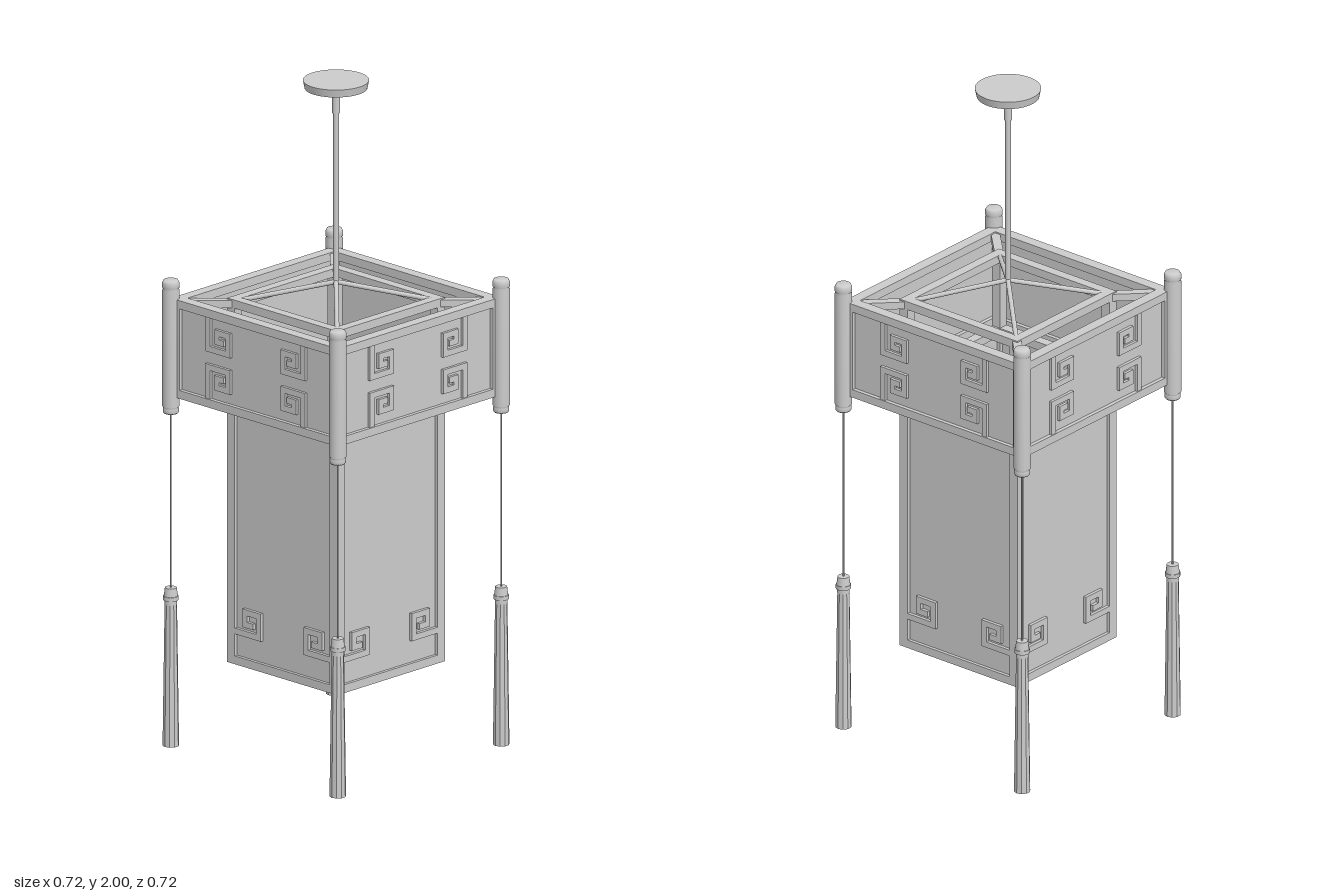
import * as THREE from 'three';

const material = new THREE.MeshStandardMaterial({ color: 0xcccccc, side: THREE.DoubleSide });
const flatMaterial = new THREE.MeshStandardMaterial({ color: 0xcccccc, flatShading: true });

function add(parent, name, geometry, x = 0, y = 0, z = 0, mat = material) {
  const mesh = new THREE.Mesh(geometry, mat);
  mesh.name = name;
  mesh.position.set(x, y, z);
  parent.add(mesh);
  return mesh;
}

const box = (parent, name, w, h, d, x, y, z) =>
  add(parent, name, new THREE.BoxGeometry(w, h, d), x, y, z);

function cylinder(parent, name, rTop, rBottom, y0, y1, x = 0, z = 0, sides = 24, mat = material) {
  return add(parent, name, new THREE.CylinderGeometry(rTop, rBottom, y1 - y0, sides), x, (y0 + y1) / 2, z, mat);
}

// Round rod between two points
function rod(parent, name, a, b, r) {
  const dir = b.clone().sub(a);
  const mid = a.clone().add(b).multiplyScalar(0.5);
  const mesh = add(parent, name, new THREE.CylinderGeometry(r, r, dir.length(), 12), mid.x, mid.y, mid.z);
  mesh.quaternion.setFromUnitVectors(new THREE.Vector3(0, 1, 0), dir.normalize());
}

// Square spiral made of straight strips along a right-angled path
function fret(parent, points, z, width = 0.018, depth = 0.014) {
  const group = new THREE.Group();
  group.name = 'fretOrnament';
  for (let i = 0; i < points.length - 1; i++) {
    const [ax, ay] = points[i], [bx, by] = points[i + 1];
    box(group, 'fretStrip', Math.abs(bx - ax) + width, Math.abs(by - ay) + width, depth,
      (ax + bx) / 2, (ay + by) / 2, z);
  }
  parent.add(group);
}

const upperFret = [[-0.19, 1.315], [-0.19, 1.225], [-0.11, 1.225], [-0.11, 1.28], [-0.154, 1.28], [-0.154, 1.253], [-0.135, 1.253]];
const lowerFret = [[-0.19, 0.35], [-0.095, 0.35], [-0.095, 0.415], [-0.15, 0.415], [-0.15, 0.378], [-0.125, 0.378]];

// One side of the wide upper crown
function crownSide() {
  const g = new THREE.Group();
  g.name = 'crownSide';
  box(g, 'crownTopRail', 0.634, 0.025, 0.034, 0, 1.3325, 0.317);
  box(g, 'crownBottomRail', 0.634, 0.025, 0.034, 0, 1.0625, 0.317);
  box(g, 'crownPanel', 0.61, 0.25, 0.01, 0, 1.1975, 0.317);
  const midY = 1.1975;
  for (const sx of [1, -1])
    for (const sy of [1, -1])
      fret(g, upperFret.map(([x, y]) => [x * sx, midY + (y - midY) * sy]), 0.324);
  return g;
}

// One side of the tall lantern body
function bodySide() {
  const g = new THREE.Group();
  g.name = 'bodySide';
  for (const [name, y] of [['bodyTopRail', 1.3325], ['bodyMiddleRail', 1.1], ['bodyBottomRail', 0.2625]])
    box(g, name, 0.41, 0.025, 0.03, 0, y, 0.205);
  box(g, 'bodyPanel', 0.39, 0.82, 0.008, 0, 0.682, 0.206);
  for (const sx of [1, -1]) fret(g, lowerFret.map(([x, y]) => [x * sx, y]), 0.213);
  return g;
}

// Corner post, hanging cord and tassel
function cornerHanging(x, z) {
  const g = new THREE.Group();
  g.name = 'cornerHanging';
  const profile = [[0, 1.0], [0.02, 1.0], [0.023, 1.004], [0.023, 1.015], [0.021, 1.018], [0.025, 1.022],
    [0.025, 1.37], [0.021, 1.374], [0.025, 1.378], [0.025, 1.392], [0.021, 1.4], [0, 1.4]];
  const post = new THREE.LatheGeometry(profile.map(([r, y]) => new THREE.Vector2(r, y)), 24);
  add(g, 'cornerPost', post);
  cylinder(g, 'tasselCord', 0.0025, 0.0025, 0.47, 1.0, 0, 0, 8);
  cylinder(g, 'tasselCap', 0.017, 0.02, 0.45, 0.475);
  cylinder(g, 'tasselBand', 0.022, 0.022, 0.438, 0.45);
  cylinder(g, 'tasselNeck', 0.018, 0.018, 0.425, 0.438);
  cylinder(g, 'tasselSkirt', 0.018, 0.024, 0, 0.425, 0, 0, 10, flatMaterial);
  g.position.set(x, 0, z);
  return g;
}

export function createModel() {
  const model = new THREE.Group();
  model.name = 'hangingLantern';

  // Ceiling plate and suspension rod
  cylinder(model, 'ceilingPlate', 0.095, 0.09, 1.976, 2.0, 0, 0, 48);
  cylinder(model, 'ceilingCollar', 0.024, 0.02, 1.958, 1.976);
  cylinder(model, 'rodSocket', 0.011, 0.011, 1.9, 1.958);
  cylinder(model, 'suspensionRod', 0.008, 0.008, 1.39, 1.958);

  // Four matching sides
  for (let i = 0; i < 4; i++) {
    for (const side of [crownSide(), bodySide()]) {
      side.rotation.y = i * Math.PI / 2;
      model.add(side);
    }
  }

  // Corners: uprights, braces, suspension arms, posts and tassels
  for (const sx of [1, -1]) {
    for (const sz of [1, -1]) {
      box(model, 'crownUpright', 0.034, 0.295, 0.034, sx * 0.317, 1.1975, sz * 0.317);
      box(model, 'bodyUpright', 0.03, 1.095, 0.03, sx * 0.205, 0.7975, sz * 0.205);
      const brace = box(model, 'diagonalBrace', 0.155, 0.022, 0.026, sx * 0.26, 1.33, sz * 0.26);
      brace.rotation.y = -sx * sz * Math.PI / 4;
      rod(model, 'suspensionArm', new THREE.Vector3(0, 1.393, 0), new THREE.Vector3(sx * 0.195, 1.338, sz * 0.195), 0.007);
      model.add(cornerHanging(sx * 0.334, sz * 0.334));
    }
  }
  return model;
}
